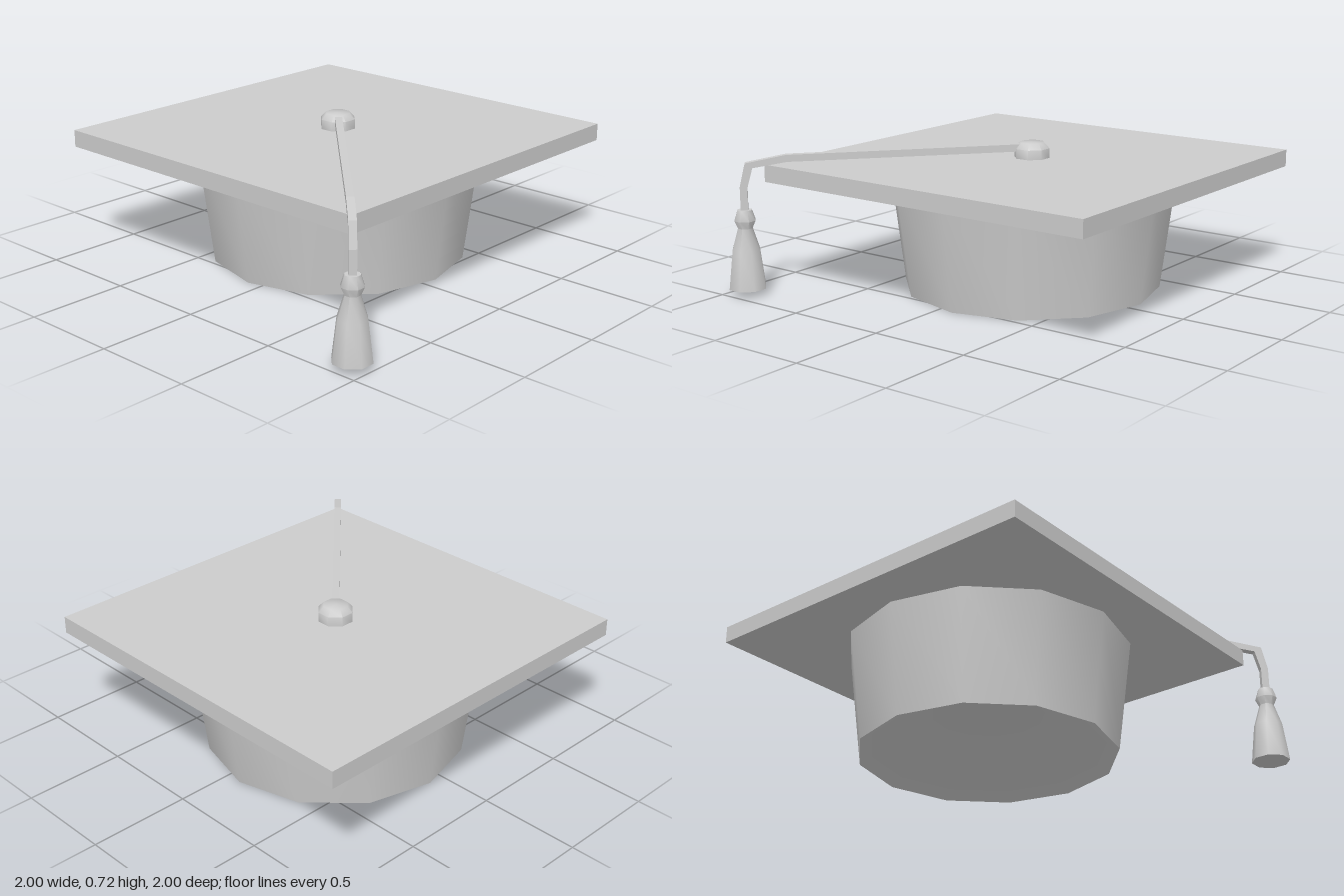
import * as THREE from 'three';
import { toCreasedNormals } from 'three/addons/utils/BufferGeometryUtils.js';

const CENTER = -0.08; // cap axis, in x and z
const TASSEL = 0.912; // tassel axis, in x and z

export function createModel() {
  const group = new THREE.Group();
  group.name = 'graduationCap';
  const grey = new THREE.MeshStandardMaterial({ color: 0xcccccc });
  grey.name = 'lightGrey';

  function add(name, geometry, x = 0, y = 0, z = 0) {
    const mesh = new THREE.Mesh(geometry, grey);
    mesh.name = name;
    mesh.position.set(x, y, z);
    group.add(mesh);
    return mesh;
  }

  // Turned part with smooth sides and sharp rims
  function turned(profile, sides, phase = 0) {
    const points = profile.map(([r, y]) => new THREE.Vector2(r, y));
    return toCreasedNormals(new THREE.LatheGeometry(points, sides, phase), 0.9);
  }

  // Octagon with flats on the axes; radii are given to the flats
  function octagon(profile) {
    const k = 1 / Math.cos(Math.PI / 8);
    return turned(profile.map(([r, y]) => [r * k, y]), 8, Math.PI / 8);
  }

  // Flat square board
  add('board', new THREE.BoxGeometry(1.84, 0.085, 1.84), CENTER, 0.598, CENTER);

  // Flared head band with a hollow underside
  add('headBand', turned([[0, 0.38], [0.64, 0], [0.71, 0.556]], 12), CENTER, 0, CENTER);

  // Button in the middle of the board
  add('button', octagon([[0, 0.635], [0.082, 0.635], [0.082, 0.688], [0.057, 0.716], [0, 0.716]]),
    CENTER, 0, CENTER);

  // Cord: side outline along the diagonal, extruded to a square section
  const end = TASSEL * Math.SQRT2;
  const outline = [
    [-0.06, 0.709], [1.085, 0.688], [end - 0.01, 0.652], [end + 0.018, 0.535], [end + 0.018, 0.4],
    [end - 0.018, 0.4], [end - 0.018, 0.53], [end - 0.045, 0.628], [1.08, 0.654], [-0.06, 0.673],
  ].map(([s, y]) => new THREE.Vector2(s, y));
  const cordGeometry = new THREE.ExtrudeGeometry(new THREE.Shape(outline), {
    depth: 0.036, bevelEnabled: false,
  });
  cordGeometry.translate(0, 0, -0.018);
  cordGeometry.rotateY(-Math.PI / 4);
  add('cord', cordGeometry);

  // Tassel: knot above a flared skirt
  add('tassel', octagon([
    [0, 0.032], [0.087, 0.032], [0.065, 0.225], [0.034, 0.332],
    [0.05, 0.37], [0.034, 0.422], [0, 0.422],
  ]), TASSEL, 0, TASSEL);

  return group;
}
